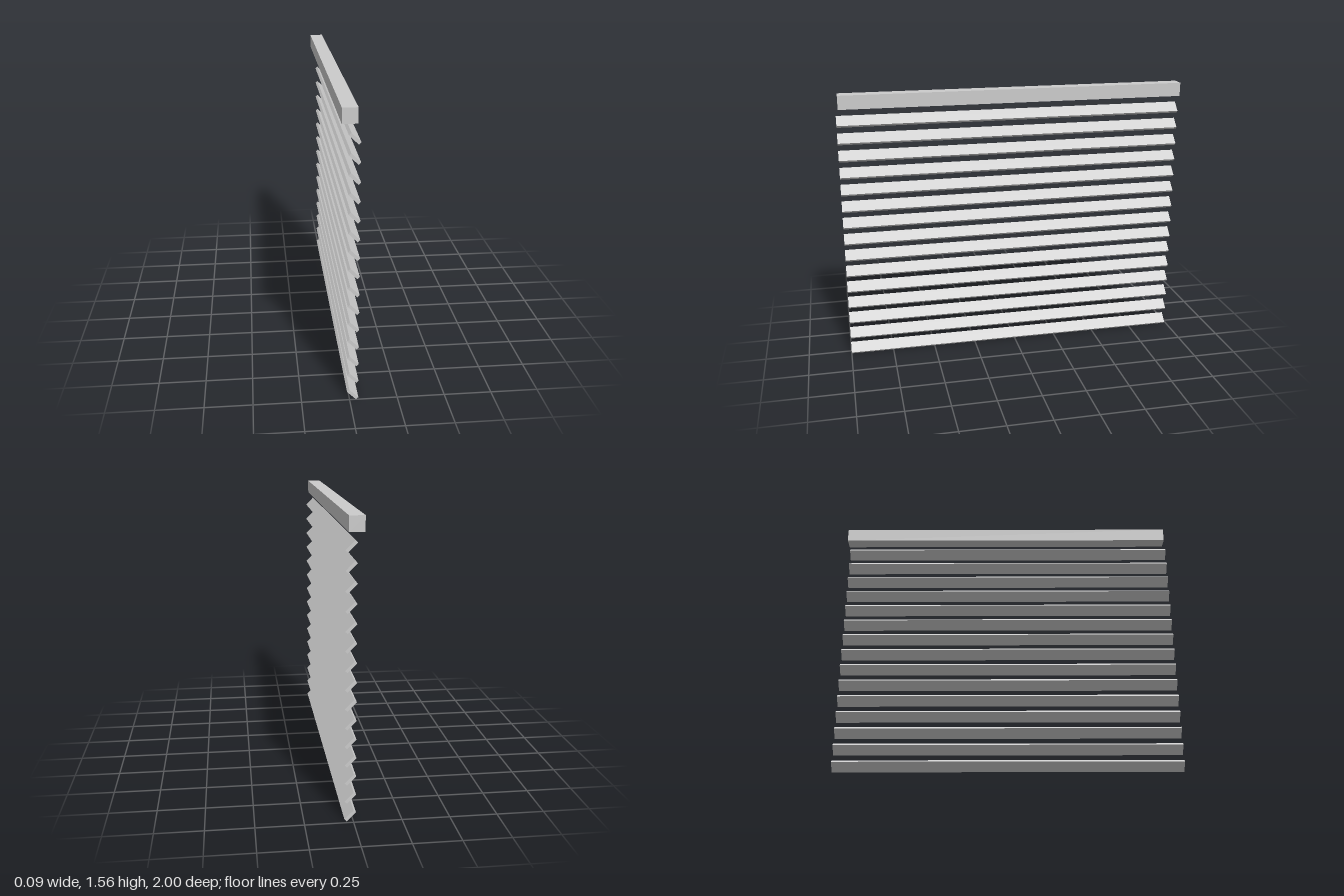
import * as THREE from 'three';

export function createModel() {
  const group = new THREE.Group();
  group.name = 'windowBlind';
  const material = new THREE.MeshStandardMaterial({ color: 0xcccccc });
  const length = 1.987;

  // Square headrail, slightly offset from the slats
  const headrail = new THREE.Mesh(new THREE.BoxGeometry(0.078, 0.078, length), material);
  headrail.name = 'headrail';
  headrail.position.set(-0.007, 1.518, -0.0065);
  group.add(headrail);

  // Evenly spaced slats, all tilted by 45 degrees
  const slats = new THREE.Group();
  slats.name = 'slats';
  const slatGeometry = new THREE.BoxGeometry(0.067, 0.017, length);
  for (let i = 0; i < 15; i++) {
    const slat = new THREE.Mesh(slatGeometry, material);
    slat.name = `slat${i + 1}`;
    slat.position.set(0.016, 0.03 + i * 0.0986, 0.0065);
    slat.rotation.z = -Math.PI / 4;
    slats.add(slat);
  }
  group.add(slats);

  return group;
}
